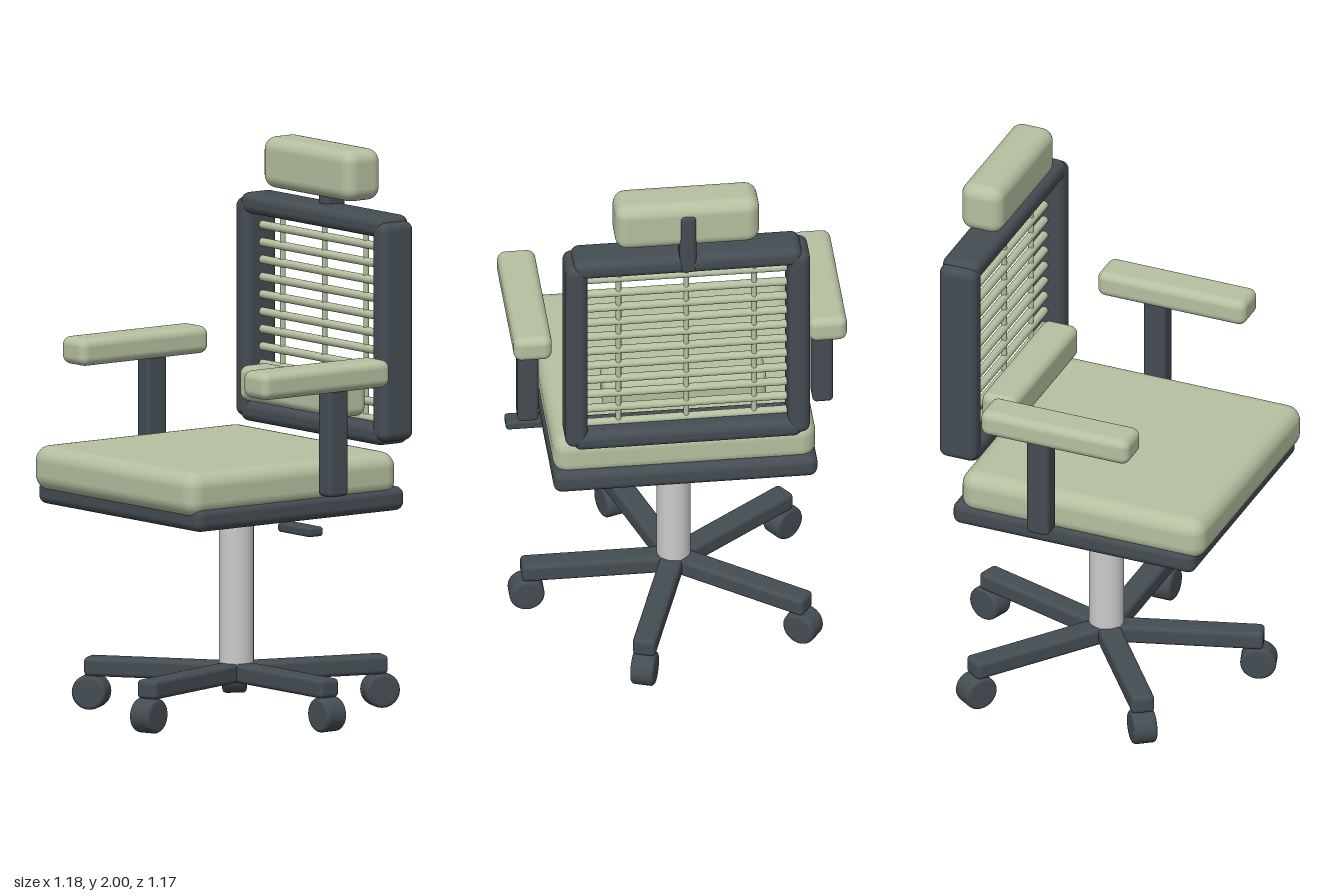
import * as THREE from 'three';
import { RoundedBoxGeometry } from 'three/addons/geometries/RoundedBoxGeometry.js';

const fabric = new THREE.MeshStandardMaterial({ color: 0xb5c0a0 });
const plastic = new THREE.MeshStandardMaterial({ color: 0x444d53 });
const metal = new THREE.MeshStandardMaterial({ color: 0xcccccc });

function add(parent, name, geometry, material, x = 0, y = 0, z = 0) {
  const mesh = new THREE.Mesh(geometry, material);
  mesh.name = name;
  mesh.position.set(x, y, z);
  parent.add(mesh);
  return mesh;
}

// Rounded block given by its extents along each axis
function block(parent, name, material, [x0, x1], [y0, y1], [z0, z1], radius) {
  const geometry = new RoundedBoxGeometry(x1 - x0, y1 - y0, z1 - z0, 4, radius);
  return add(parent, name, geometry, material, (x0 + x1) / 2, (y0 + y1) / 2, (z0 + z1) / 2);
}

// Wheel with softened rims, axis along z
function casterGeometry(r, halfWidth, bevel) {
  const points = [new THREE.Vector2(0, -halfWidth)];
  for (const side of [-1, 1]) {
    for (let i = 0; i <= 4; i++) {
      const a = (side < 0 ? i - 4 : i) * Math.PI / 8;
      points.push(new THREE.Vector2(
        r - bevel + bevel * Math.cos(a),
        side * (halfWidth - bevel) + bevel * Math.sin(a)));
    }
  }
  points.push(new THREE.Vector2(0, halfWidth));
  return new THREE.LatheGeometry(points, 32).rotateX(Math.PI / 2);
}

function createBase() {
  const base = new THREE.Group();
  base.name = 'base';
  base.scale.z = 1.035;
  add(base, 'column', new THREE.CylinderGeometry(0.06, 0.06, 0.56, 32), metal, 0, 0.44, 0);
  const wheel = casterGeometry(0.062, 0.042, 0.014);
  for (let i = 0; i < 5; i++) {
    const spoke = new THREE.Group();
    spoke.name = 'spoke';
    spoke.rotation.y = i * Math.PI * 2 / 5;
    block(spoke, 'leg', plastic, [-0.02, 0.54], [0.12, 0.188], [-0.041, 0.041], 0.016);
    add(spoke, 'caster', wheel, plastic, 0.522, 0.062, 0);
    base.add(spoke);
  }
  return base;
}

function createSeat() {
  const seat = new THREE.Group();
  seat.name = 'seat';
  block(seat, 'seatPan', plastic, [-0.467, 0.467], [0.745, 0.83], [-0.395, 0.53], 0.03);
  block(seat, 'seatCushion', fabric, [-0.465, 0.465], [0.797, 0.955], [-0.37, 0.56], 0.055);
  block(seat, 'heightLever', plastic, [0.40, 0.585], [0.708, 0.742], [0.064, 0.128], 0.01);
  return seat;
}

function createBackrest() {
  const back = new THREE.Group();
  back.name = 'backrest';
  const depth = [-0.462, -0.32];

  // Frame
  block(back, 'topRail', plastic, [-0.405, 0.405], [1.708, 1.782], depth, 0.03);
  block(back, 'bottomRail', plastic, [-0.405, 0.405], [0.97, 1.044], depth, 0.03);
  block(back, 'leftPost', plastic, [0.355, 0.433], [0.985, 1.762], depth, 0.03);
  block(back, 'rightPost', plastic, [-0.433, -0.355], [0.985, 1.762], depth, 0.03);

  // Horizontal slats with vertical ties
  const slat = new THREE.CylinderGeometry(0.015, 0.015, 0.76, 16).rotateZ(Math.PI / 2);
  for (let i = 0; i < 11; i++) add(back, 'slat', slat, fabric, 0, 1.665 - i * 0.0617, -0.39);
  const tie = new THREE.CylinderGeometry(0.01, 0.01, 0.7, 12);
  for (const x of [-0.24, 0, 0.24]) add(back, 'slatTie', tie, fabric, x, 1.375, -0.392);

  // Cushions
  block(back, 'lumbarCushion', fabric, [-0.29, 0.29], [1.063, 1.188], [-0.36, -0.226], 0.03);
  block(back, 'headrestBar', plastic, [-0.03, 0.03], [1.715, 1.96], [-0.466, -0.38], 0.018);
  block(back, 'headrest', fabric, [-0.255, 0.255], [1.818, 2], [-0.458, -0.3], 0.045);
  return back;
}

function createArm(side) {
  const arm = new THREE.Group();
  arm.name = side > 0 ? 'leftArmrest' : 'rightArmrest';
  const span = (a, b) => (side > 0 ? [a, b] : [-b, -a]);
  block(arm, 'armPost', plastic, span(0.485, 0.558), [0.835, 1.23], [-0.07, 0.015], 0.015);
  block(arm, 'armPad', fabric, span(0.455, 0.59), [1.21, 1.307], [-0.236, 0.33], 0.03);
  return arm;
}

export function createModel() {
  const chair = new THREE.Group();
  chair.name = 'officeChair';
  chair.add(createBase(), createSeat(), createBackrest(), createArm(1), createArm(-1));
  return chair;
}
